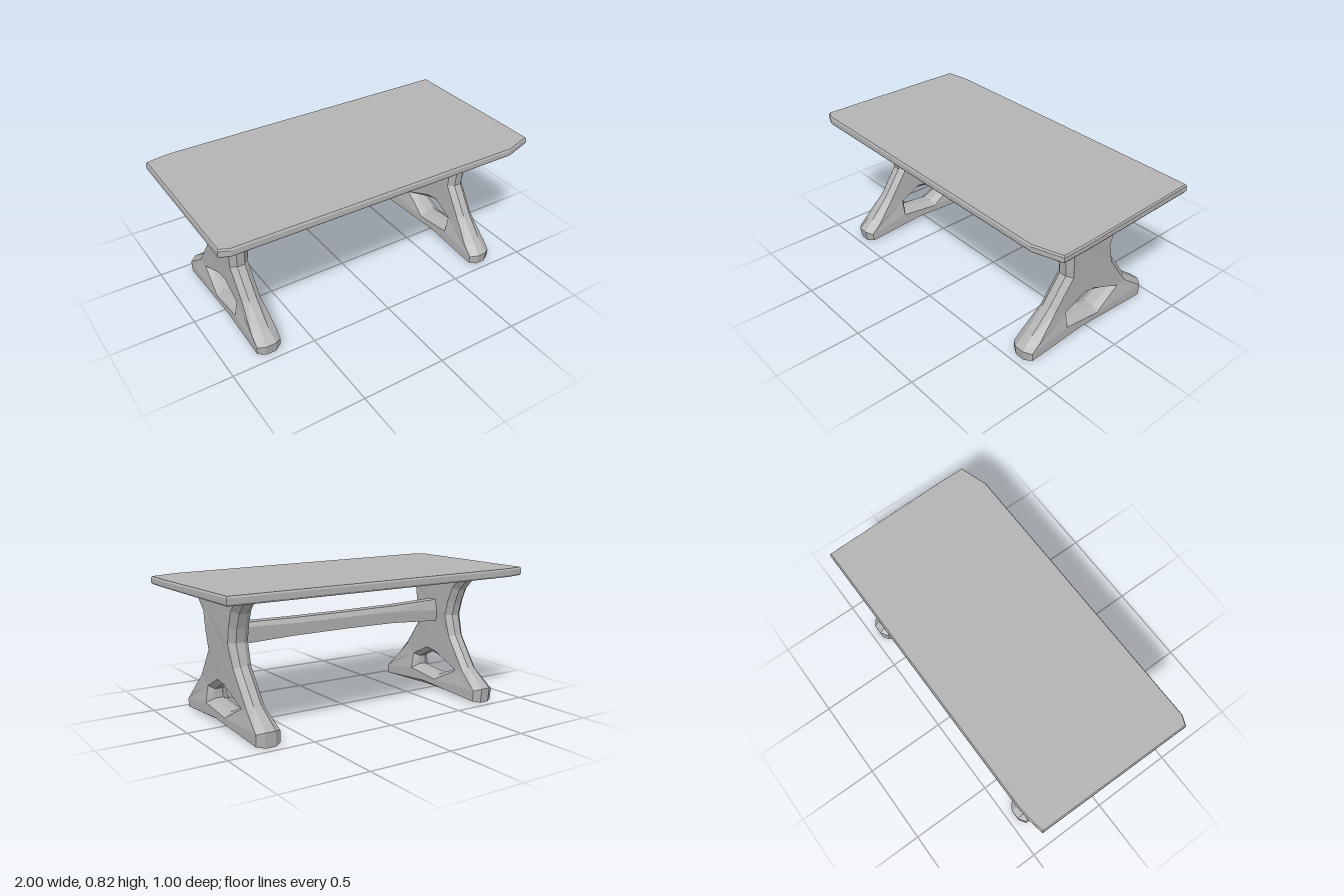
import * as THREE from 'three';

const pts = (list) => list.map(([a, b]) => new THREE.Vector2(a, b));

export function createModel() {
  const group = new THREE.Group();
  const grey = new THREE.MeshStandardMaterial({ color: 0xb4b4b4, flatShading: true });
  grey.name = 'stone grey';

  const add = (name, geometry) => {
    const g = geometry.index ? geometry.toNonIndexed() : geometry;
    g.computeVertexNormals();
    const mesh = new THREE.Mesh(g, grey);
    mesh.name = name;
    group.add(mesh);
    return mesh;
  };

  // Move each vertex by a rule
  const reshape = (geometry, rule) => {
    const p = geometry.attributes.position;
    const v = new THREE.Vector3();
    for (let i = 0; i < p.count; i++) {
      rule(v.fromBufferAttribute(p, i));
      p.setXYZ(i, v.x, v.y, v.z);
    }
    return geometry;
  };

  // Slab top with unevenly clipped corners; outline is (x, -z)
  const topShape = new THREE.Shape(pts([
    [-1, -0.47], [-0.94, -0.495], [0.83, -0.495], [1, -0.44], [1, -0.27],
    [0.98, 0.5], [-0.8, 0.5], [-0.88, 0.495], [-0.99, 0.475],
  ]));
  const top = new THREE.ExtrudeGeometry(topShape, {
    depth: 0.03, bevelEnabled: true, bevelThickness: 0.01, bevelSize: 0.006, bevelOffset: -0.006, bevelSegments: 1,
  });
  top.rotateX(-Math.PI / 2).translate(0, 0.777, 0);
  add('tableTop', reshape(top, (v) => {
    v.y += -0.003 * v.x;
    if (v.x > 0.8 && v.z > 0.2 && v.y > 0.79) v.y -= 0.006;
  }));

  // Trestle leg: hourglass outline (-z, y) with a triangular opening
  const legShape = new THREE.Shape(pts([
    [-0.455, 0.005], [-0.06, 0.012], [0.45, 0.003], [0.458, 0.09], [0.32, 0.195],
    [0.19, 0.38], [0.155, 0.5], [0.175, 0.58], [0.21, 0.665], [0.31, 0.768],
    [-0.35, 0.768], [-0.31, 0.745], [-0.19, 0.62], [-0.18, 0.53], [-0.168, 0.42],
    [-0.28, 0.26], [-0.40, 0.13], [-0.465, 0.07],
  ]));
  legShape.holes.push(new THREE.Path(pts([
    [-0.15, 0.125], [-0.15, 0.18], [-0.04, 0.235], [0.03, 0.225], [0.2, 0.163], [0.06, 0.1],
  ])));
  const makeLeg = (name, side) => {
    const g = new THREE.ExtrudeGeometry(legShape, {
      depth: 0.05, bevelEnabled: true, bevelThickness: 0.035, bevelSize: 0.028, bevelOffset: -0.028, bevelSegments: 1,
    });
    g.translate(0, 0, -0.025).rotateY(Math.PI / 2);
    reshape(g, (v) => {
      // Thick foot, slim waist, slightly fuller shoulder
      const width = v.y < 0.12 ? 1.2 : v.y < 0.45 ? 0.9 : 1;
      const lean = side < 0 ? -0.012 * (v.y / 0.77) : 0.02 * (v.y / 0.77);
      v.x = v.x * width + lean + (side < 0 ? -0.748 : 0.733);
      // Keep the foot and top flush after bevelling
      if (v.y > 0.735) v.y = 0.77;
      if (v.y < 0.04) v.y -= 0.02 * (v.y > 0.025 ? 1 : 0);
    });
    add(name, g);
  };
  makeLeg('rightLeg', -1);
  makeLeg('leftLeg', 1);

  // Shallow faceted bosses where the legs meet the underside
  for (const side of [-1, 1]) {
    const boss = new THREE.CylinderGeometry(1, 0.3, 0.03, 6);
    boss.scale(0.25, 1, 0.43).translate(side * 0.73, 0.755, 0);
    add(side < 0 ? 'rightBoss' : 'leftBoss', boss);
  }

  // Stretcher: ridged beam that swells toward its ends
  const beamShape = new THREE.Shape(pts([
    [-0.045, 0.478], [0.04, 0.475], [0.045, 0.545], [0.03, 0.575], [-0.03, 0.575], [-0.048, 0.545],
  ]));
  const beam = new THREE.ExtrudeGeometry(beamShape, { depth: 1.42, steps: 4, bevelEnabled: false });
  beam.rotateY(Math.PI / 2).translate(-0.71, 0, 0);
  add('stretcher', reshape(beam, (v) => {
    const swell = Math.max(0, Math.abs(v.x) - 0.3) / 0.4;
    v.y += (v.y > 0.56 ? 0.012 : v.y < 0.5 ? -0.025 : 0.025 * Math.sign(v.x)) * swell * (v.x < 0 ? 1 : 0.5);
  }));

  // Center the footprint and rest the feet on the ground
  const box = new THREE.Box3().setFromObject(group);
  for (const part of group.children) part.position.y -= box.min.y;
  return group;
}
